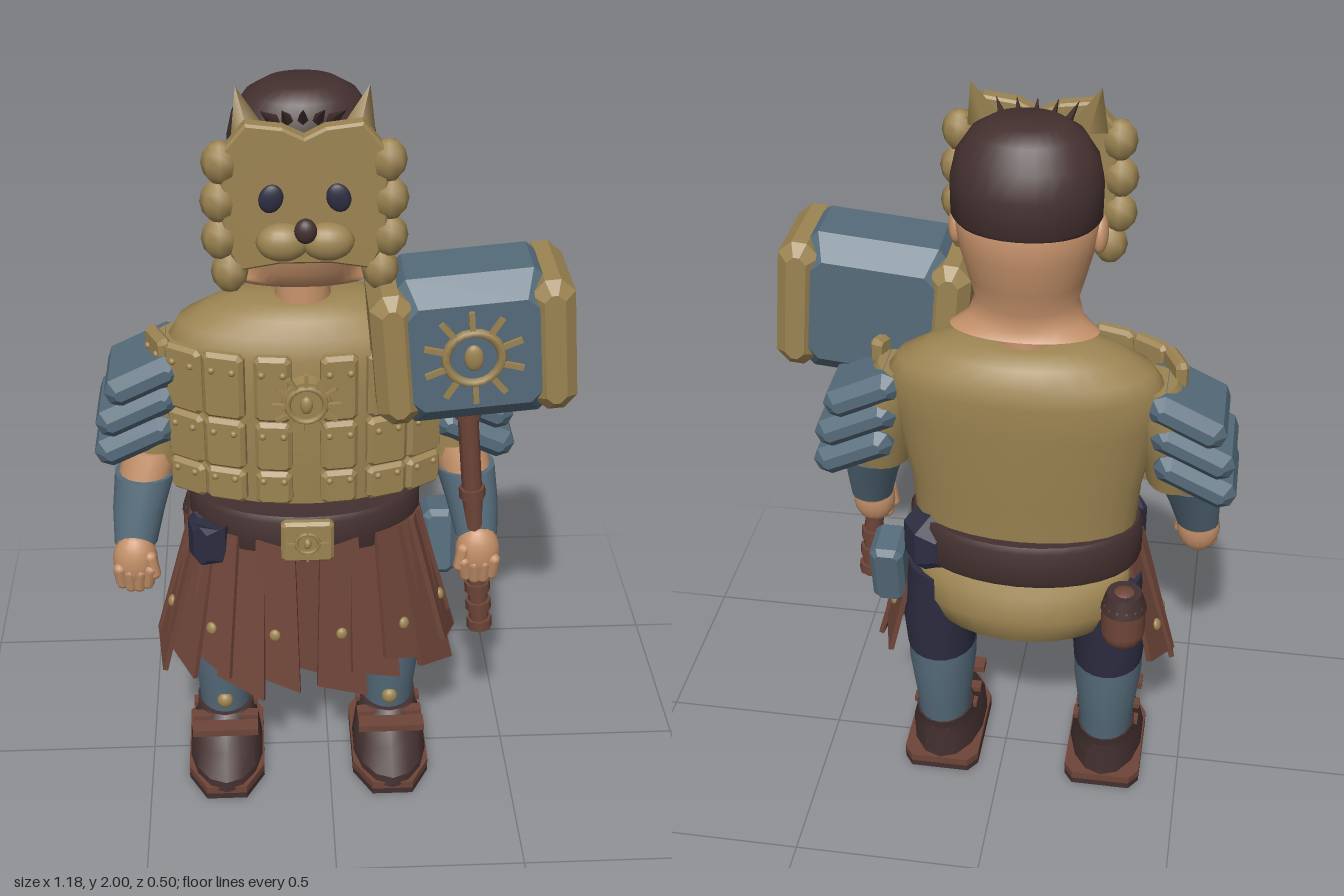
import * as THREE from 'three';
import { toCreasedNormals } from 'three/addons/utils/BufferGeometryUtils.js';

const CX = -0.06; // body axis
const mat = (name, color) => {
  const m = new THREE.MeshStandardMaterial({ color });
  m.name = name;
  return m;
};

export function createModel() {
  const model = new THREE.Group();
  model.name = 'armouredWarrior';
  const gold = mat('dull gold', 0x9c8452), slate = mat('slate blue', 0x556b7a);
  const leather = mat('red leather', 0x6e4539), dark = mat('dark brown', 0x43302f);
  const navy = mat('navy cloth', 0x2d2d42), skin = mat('skin', 0xc39069);

  const add = (name, geo, material, pos = [0, 0, 0], rot = [0, 0, 0], parent = model) => {
    const m = new THREE.Mesh(geo, material);
    m.name = name;
    m.position.set(...pos);
    m.rotation.set(...rot);
    parent.add(m);
    return m;
  };
  const group = (name, pos, rot = [0, 0, 0], parent = model) => {
    const g = new THREE.Group();
    g.name = name;
    g.position.set(...pos);
    g.rotation.set(...rot, 'YXZ');
    parent.add(g);
    return g;
  };
  // stacked elliptical rings, listed upward as [y, rx, rz, x, z], closed at both ends
  const loft = (rings, n = 28, crease = 0.9) => {
    const first = rings[0], last = rings[rings.length - 1];
    const all = [[first[0], 0.001, 0.001, first[3], first[4]], ...rings, [last[0], 0.001, 0.001, last[3], last[4]]];
    const p = [], idx = [];
    all.forEach(([y, rx, rz, x = 0, z = 0], i) => {
      for (let j = 0; j < n; j++) {
        const a = (j / n) * Math.PI * 2;
        p.push(x + rx * Math.sin(a), y, z + rz * Math.cos(a));
        if (i + 1 < all.length) {
          const a0 = i * n + j, b0 = i * n + (j + 1) % n;
          idx.push(a0, b0, b0 + n, a0, b0 + n, a0 + n);
        }
      }
    });
    const g = new THREE.BufferGeometry();
    g.setAttribute('position', new THREE.Float32BufferAttribute(p, 3));
    g.setIndex(idx);
    return toCreasedNormals(g, crease);
  };
  const polygon = pts => new THREE.Shape(pts.map(q => new THREE.Vector2(...q)));
  // box with all edges cut at 45 degrees
  const chamferBox = (w, h, d, c) => {
    const x = w / 2 - c, y = h / 2 - c, k = Math.min(c, y) * 0.6;
    const s = polygon([[-x + k, -y], [x - k, -y], [x, -y + k], [x, y - k], [x - k, y], [-x + k, y], [-x, y - k], [-x, -y + k]]);
    return new THREE.ExtrudeGeometry(s, { depth: d - 2 * c, bevelThickness: c, bevelSize: c, bevelSegments: 1 }).translate(0, 0, c - d / 2);
  };
  const ball = (rx, ry, rz) => new THREE.SphereGeometry(1, 16, 12).scale(rx, ry, rz);
  // round emblem with a ring, a boss and rays
  const sun = (name, pos, r, n, parent = model) => {
    const g = group(name, pos, [0, 0, 0], parent);
    add('sunRing', new THREE.TorusGeometry(r * 0.58, r * 0.1, 6, 20), gold, [0, 0, 0], [0, 0, 0], g);
    add('sunBoss', ball(r * 0.2, r * 0.3, 0.012), gold, [0, 0, 0], [0, 0, 0], g);
    for (let i = 0; i < n; i++) {
      const a = (i / n) * Math.PI * 2;
      add('sunRay', new THREE.BoxGeometry(r * 0.12, r * 0.42, 0.012), gold, [-Math.sin(a) * r * 0.85, Math.cos(a) * r * 0.85, 0], [0, 0, a], g);
    }
    return g;
  };

  // torso, tunic tail and belt
  add('torso', loft([[0.8, 0.28, 0.135, CX, -0.06], [1.0, 0.295, 0.15, CX, -0.06], [1.2, 0.335, 0.16, CX, -0.07],
    [1.3, 0.345, 0.157, CX, -0.075], [1.35, 0.315, 0.147, CX, -0.08], [1.39, 0.24, 0.12, CX, -0.08], [1.415, 0.165, 0.075, CX, -0.08]]), gold);
  add('tunicTail', loft([[0.565, 0.16, 0.1, CX, -0.11], [0.59, 0.23, 0.14, CX, -0.1], [0.65, 0.272, 0.15, CX, -0.093],
    [0.73, 0.284, 0.15, CX, -0.088], [0.775, 0.28, 0.135, CX, -0.06]], 28, 1.2), gold);
  add('belt', loft([[0.76, 0.298, 0.186, CX, -0.04], [0.775, 0.304, 0.192, CX, -0.04], [0.87, 0.304, 0.192, CX, -0.04], [0.885, 0.296, 0.184, CX, -0.04]], 32), dark);
  add('buckle', chamferBox(0.135, 0.12, 0.03, 0.008), gold, [CX, 0.82, 0.152]);
  sun('buckleEmblem', [CX, 0.82, 0.168], 0.05, 8);
  add('frontHipCloth', chamferBox(0.11, 0.19, 0.1, 0.035), navy, [-0.312, 0.785, 0.075], [0, -0.5, 0]);
  add('rearHipCloth', chamferBox(0.13, 0.19, 0.15, 0.04), navy, [0.178, 0.805, -0.105], [0, 0.6, 0]);

  // chest plates set around the rib cage
  const rows = [[1.26, 0.18], [1.097, 0.14], [0.977, 0.095]];
  for (const a of [-1.35, -0.92, -0.57, -0.22, 0.22, 0.57, 0.92, 1.35]) {
    const yaw = Math.atan2(Math.sin(a) / 0.37, Math.cos(a) / 0.18);
    const col = group('chestColumn', [CX + 0.37 * Math.sin(a), 0, -0.04 + 0.18 * Math.cos(a)], [0, yaw, 0]);
    const wide = Math.abs(a) < 0.4 ? 0.092 : 0.105;
    rows.slice(0, Math.abs(a) > 1 ? 1 : 3).forEach(([y, h]) => {
      add('chestPlate', chamferBox(wide, h, 0.034, 0.01), gold, [0, y, 0], [0, 0, 0], col);
      for (const s of [-1, 1]) add('plateRivet', ball(0.009, 0.009, 0.008), gold, [s * 0.026, y + h * 0.25, 0.017], [0, 0, 0], col);
    });
  }
  add('medallion', new THREE.CylinderGeometry(0.06, 0.065, 0.03, 20).rotateX(Math.PI / 2), gold, [CX, 1.23, 0.15]);
  sun('medallionEmblem', [CX, 1.23, 0.168], 0.08, 12);

  // head, ears, hair
  add('neck', new THREE.CylinderGeometry(0.062, 0.075, 0.14, 16), skin, [CX, 1.43, -0.075]);
  add('head', loft([[1.455, 0.18, 0.08, CX, -0.1], [1.475, 0.14, 0.092, CX, -0.075], [1.52, 0.124, 0.108, CX, -0.06], [1.58, 0.14, 0.128, CX, -0.06],
    [1.66, 0.16, 0.14, CX, -0.065], [1.73, 0.168, 0.143, CX, -0.07], [1.76, 0.155, 0.125, CX, -0.075]], 28, 1.2), skin);
  add('hair', loft([[1.732, 0.165, 0.13, CX, -0.08], [1.745, 0.176, 0.14, CX, -0.077], [1.83, 0.177, 0.142, CX, -0.077],
    [1.89, 0.164, 0.128, CX, -0.073], [1.94, 0.13, 0.1, CX, -0.068], [1.967, 0.085, 0.065, CX, -0.066]]), dark);
  for (const s of [-1, 1]) add('ear', ball(0.02, 0.048, 0.03), skin, [CX + s * 0.168, 1.69, -0.05], [0.25, 0, 0]);
  for (let i = 0; i < 5; i++) add('hairTuft', new THREE.ConeGeometry(0.018, 0.09, 5), dark, [CX - 0.08 + i * 0.04, 1.925, 0.06], [0.9, 0, (i - 2) * -0.2]);

  // beast mask
  const half = [[0, 1.9], [0.05, 1.925], [0.13, 1.935], [0.18, 1.875], [0.185, 1.76], [0.182, 1.66], [0.15, 1.59], [0.06, 1.605]];
  const outline = polygon([...half.map(([x, y]) => [-x, y]), ...half.slice(1).reverse()]);
  const mask = group('beastMask', [CX, 0, 0]);
  add('maskPlate', new THREE.ExtrudeGeometry(outline, { depth: 0.03, bevelThickness: 0.006, bevelSize: 0.006, bevelSegments: 1 }), gold, [0, 0, 0.115], [0, 0, 0], mask);
  for (const s of [-1, 1]) {
    add('maskEar', new THREE.ConeGeometry(0.045, 0.12, 4).scale(1, 1, 0.5), gold, [s * 0.137, 1.942, 0.075], [-0.25, 0, -s * 0.25], mask);
    [[0.19, 1.845], [0.196, 1.752], [0.196, 1.66], [0.176, 1.575]].forEach(([x, y]) =>
      add('maneLock', new THREE.SphereGeometry(1, 8, 6).scale(0.044, 0.052, 0.038), gold, [s * x, y, 0.128], [0, 0, 0], mask));
    add('maskEye', ball(0.028, 0.035, 0.012), navy, [s * 0.077, 1.765, 0.153], [0, 0, s * 0.3], mask);
    add('muzzle', ball(0.062, 0.046, 0.04), gold, [s * 0.052, 1.66, 0.158], [0, 0, 0], mask);
  }
  add('maskNose', ball(0.026, 0.03, 0.02), dark, [0, 1.705, 0.2], [0, 0, 0], mask);

  for (const s of [-1, 1]) {
    // arms, built outward from the body axis
    const X = d => CX + s * d;
    add('sleeve', loft([[1.0, 0.07, 0.08, X(0.375), -0.02], [1.1, 0.085, 0.09, X(0.37), -0.035], [1.22, 0.09, 0.095, X(0.345), -0.05], [1.31, 0.06, 0.07, X(0.31), -0.06]], 18), gold);
    add('forearm', loft([[0.78, 0.045, 0.045, X(0.442), 0.09], [0.93, 0.066, 0.062, X(0.42), 0.036], [1.03, 0.074, 0.076, X(0.39), -0.012]], 18), skin);
    add('bracer', loft([[0.79, 0.056, 0.053, X(0.442), 0.088], [0.88, 0.068, 0.064, X(0.43), 0.056], [0.965, 0.078, 0.075, X(0.412), 0.022]], 18), slate);
    const hand = group('hand', [X(0.445), 0.74, 0.118], [0, 0, s * 0.05]);
    add('palm', ball(0.058, 0.078, 0.047), skin, [0, 0.012, 0], [0, 0, 0], hand);
    for (let i = 0; i < 4; i++) add('finger', new THREE.CapsuleGeometry(0.017, 0.05, 4, 8), skin, [-0.036 + i * 0.024, -0.025 - (i % 3 ? 0.01 : 0), 0.025], [0.2, 0, (i - 1.5) * -0.08], hand);
    add('thumb', new THREE.CapsuleGeometry(0.017, 0.05, 4, 8), skin, [-s * 0.045, 0.01, 0.025], [0, 0, -s * 0.2], hand);

    // layered shoulder guards
    [[0.4, 1.24, 0.205], [0.42, 1.155, 0.22], [0.43, 1.07, 0.215]].forEach(([d, y, w]) =>
      add('shoulderPlate', chamferBox(w, 0.08, 0.237, 0.026), slate, [X(d), y, -0.04], [0, 0, -s * 0.45]));

    // legs and boots
    const leg = group('leg', [X(0.23), 0, 0]);
    add('thigh', loft([[0.42, 0.093, 0.105, 0, -0.055], [0.52, 0.1, 0.11, 0, -0.06], [0.72, 0.11, 0.115, -s * 0.03, -0.07]], 20), navy, [0, 0, 0], [0, 0, 0], leg);
    add('shinGuard', loft([[0.12, 0.07, 0.085, 0, -0.04], [0.22, 0.076, 0.095, 0, -0.042], [0.36, 0.092, 0.115, 0, -0.042], [0.49, 0.094, 0.112, 0, -0.04]], 20), slate, [0, 0, 0], [0, 0, 0], leg);
    add('boot', loft([[0.03, 0.103, 0.187, 0, 0.043], [0.06, 0.103, 0.182, 0, 0.043], [0.1, 0.094, 0.147, 0, 0.012],
      [0.135, 0.084, 0.112, 0, -0.017], [0.165, 0.08, 0.1, 0, -0.036]], 14, 0.6), dark, [0, 0, 0], [0, 0, 0], leg);
    // sole outline, narrower at the toe, in a dark tread and a leather welt
    const soleShape = polygon([[-0.08, -0.145], [0.08, -0.145], [0.105, -0.11], [0.105, 0.13], [0.055, 0.22], [-0.055, 0.22], [-0.105, 0.13], [-0.105, -0.11]]);
    const slab = h => new THREE.ExtrudeGeometry(soleShape, { depth: h, bevelEnabled: false }).rotateX(Math.PI / 2).translate(0, h, 0);
    add('soleTread', slab(0.018), dark, [0, 0, 0], [0, 0, 0], leg);
    add('soleWelt', slab(0.022), leather, [0, 0.018, 0], [0, 0, 0], leg);
    add('ankleStrap', new THREE.BoxGeometry(0.18, 0.02, 0.045), leather, [0, 0.168, 0.12], [0, 0, 0], leg);
    for (const z of [0.045, -0.02]) add('sideLace', new THREE.BoxGeometry(0.18, 0.016, 0.03), leather, [0, 0.152, z], [0, 0, 0], leg);
    add('shinStud', ball(0.022, 0.024, 0.018), gold, [0, 0.212, 0.052], [0, 0, 0], leg);
  }

  // leather strip skirt, open at the back
  for (let i = 0; i < 13; i++) {
    const a = -1.75 + (i / 12) * 3.5, side = Math.abs(Math.sin(a));
    const len = 0.41 + 0.03 * ((i * 5) % 3) - 0.03 * side;
    const yaw = Math.atan2(Math.sin(a) / 0.28, Math.cos(a) / 0.15);
    const strip = group('skirtStrip', [CX + 0.28 * Math.sin(a), 0.81, -0.01 + (0.135 + 0.01 * (i % 2)) * Math.cos(a)], [-0.06 - 0.2 * side, yaw, 0]);
    const shape = polygon([[-0.05, 0], [-0.068, -len + 0.025], [0.068, -len - 0.025], [0.05, 0]]);
    add('strip', new THREE.ExtrudeGeometry(shape, { depth: 0.014, bevelEnabled: false }), leather, [0, 0, 0], [0, 0, 0], strip);
    if (i % 2 || i === 0 || i === 12) add('stripStud', ball(0.015, 0.017, 0.01), gold, [0, -0.28, 0.016], [0, 0, 0], strip);
  }

  // belt pouches
  add('sidePouch', chamferBox(0.09, 0.19, 0.12, 0.015), slate, [0.3, 0.675, -0.07], [-0.15, 0, 0]);
  add('flask', new THREE.CapsuleGeometry(0.057, 0.07, 5, 14), leather, [-0.335, 0.665, -0.192]);
  add('flaskCap', new THREE.CylinderGeometry(0.045, 0.06, 0.05, 14), dark, [-0.335, 0.725, -0.192]);

  // war hammer
  const hammer = group('warHammer', [0.337, 1.39, 0.11], [0, 0, 0.09]);
  add('hammerCore', chamferBox(0.43, 0.385, 0.25, 0.055), slate, [0, 0, 0], [0, 0, 0], hammer);
  for (const s of [-1, 1]) add('hammerCap', chamferBox(0.105, 0.345, 0.268, 0.028), gold, [s * 0.188, 0, 0], [0, 0, 0], hammer);
  sun('hammerEmblem', [-0.005, 0, 0.128], 0.115, 10, hammer);
  add('shaft', new THREE.CylinderGeometry(0.026, 0.026, 0.75, 8), leather, [-0.015, -0.52, 0], [0, 0, 0], hammer);
  for (const y of [-0.22, -0.46, -0.76, -0.82, -0.88]) add('shaftRing', new THREE.CylinderGeometry(0.034, 0.034, 0.03, 8), leather, [-0.015, y, 0], [0, 0, 0], hammer);

  return model;
}
